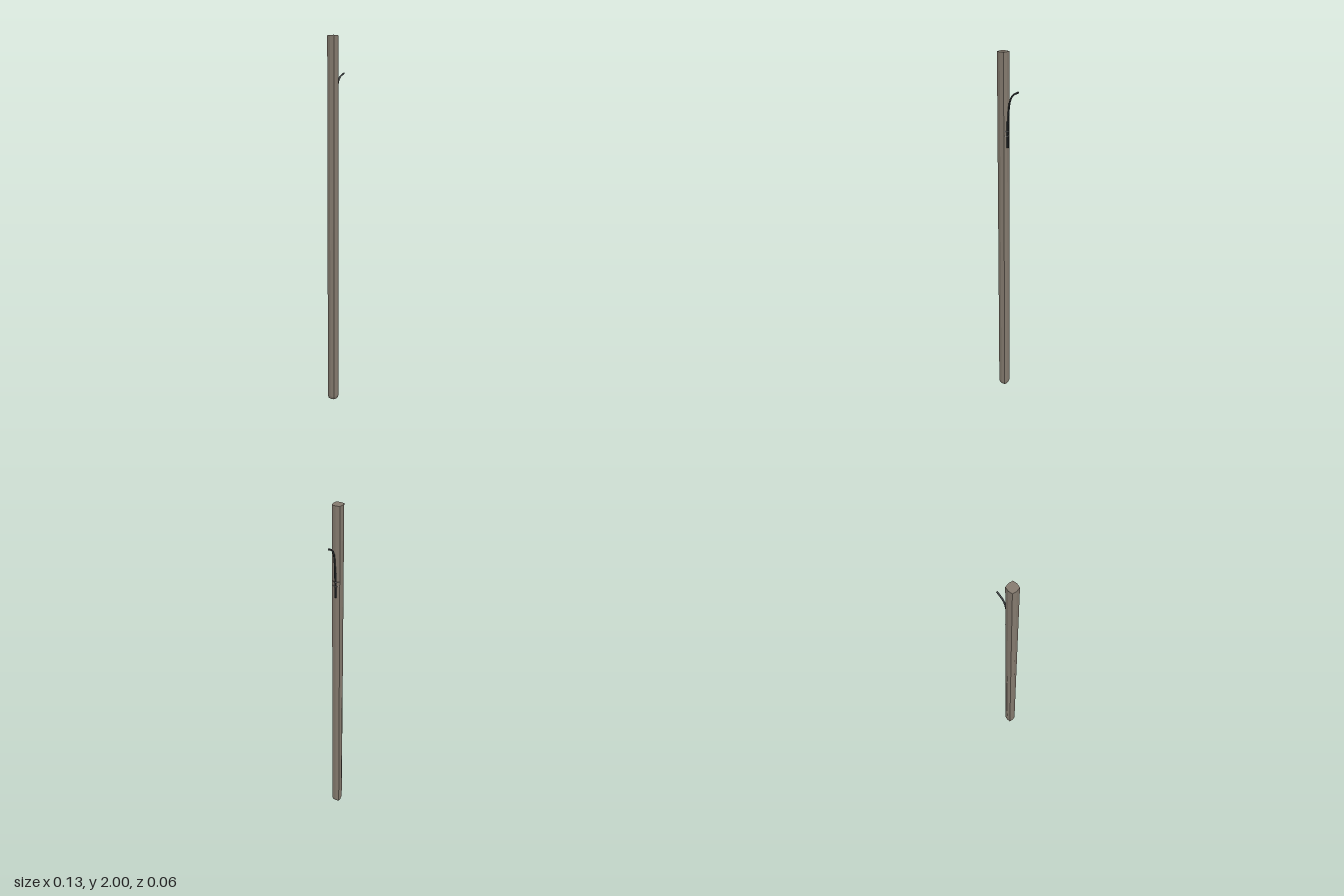
import * as THREE from 'three';

const PX = -0.038; // pole axis

// Give a geometry hard facets
function faceted(geometry) {
  const g = geometry.toNonIndexed();
  g.computeVertexNormals();
  return g;
}

// Smooth swelling between two heights
function swell(y, low, high) {
  if (y <= low || y >= high) return 0;
  return Math.sin(Math.PI * (y - low) / (high - low));
}

// Rough-hewn pole: four corners with a slight ridge along each face
function poleGeometry() {
  const heights = [0, 0.015, 0.1, 0.25, 0.4, 0.6, 0.8, 1.03, 1.09, 1.15, 1.4, 1.7, 2];
  const rows = heights.length - 1;
  const g = new THREE.CylinderGeometry(1, 1, 1, 8, rows);
  const p = g.attributes.position;
  for (let i = 0; i < p.count; i++) {
    const y = heights[Math.round((p.getY(i) + 0.5) * rows)];
    const x = p.getX(i), z = p.getZ(i);
    const corner = Math.abs(x * z) > 0.1;
    const r = (corner ? 0.0305 : 0.0258) * (y === 0 ? 0.84 : 1);
    let px = PX + x * r, pz = 0.0015 + z * r;
    if (z < -0.9) pz -= 0.005 * swell(y, 0.05, 1.1); // swelling at the back
    if (x < -0.9) px -= 0.002 * swell(y, 0.9, 1.25); // knot at the side
    p.setXYZ(i, px, y, pz);
  }
  return faceted(g);
}

export function createModel() {
  const wood = new THREE.MeshStandardMaterial({ color: 0x857b6f });
  const iron = new THREE.MeshStandardMaterial({ color: 0x34383b });
  const wire = new THREE.MeshStandardMaterial({ color: 0x8c8c8a });

  const model = new THREE.Group();
  model.name = 'poleWithHook';
  const add = (name, geometry, material, x = 0, y = 0, z = 0) => {
    const mesh = new THREE.Mesh(geometry, material);
    mesh.name = name;
    mesh.position.set(x, y, z);
    model.add(mesh);
    return mesh;
  };

  add('pole', poleGeometry(), wood);

  // Curved hook rod with closed ends
  const path = new THREE.CatmullRomCurve3([
    [-0.008, 1.51], [-0.0075, 1.6], [-0.003, 1.7], [0.008, 1.762], [0.025, 1.79], [0.061, 1.811],
  ].map(([x, y]) => new THREE.Vector3(x, y, 0.001)));
  add('hookRod', new THREE.TubeGeometry(path, 28, 0.0046, 8), iron);
  for (const t of [0, 1]) {
    const cap = add('hookEnd', new THREE.CircleGeometry(0.0046, 8), iron);
    cap.position.copy(path.getPoint(t));
    const out = path.getTangent(t).multiplyScalar(t ? 1 : -1);
    cap.quaternion.setFromUnitVectors(new THREE.Vector3(0, 0, 1), out);
  }

  // Mounting strip against the pole
  add('hookStrip', new THREE.BoxGeometry(0.006, 0.14, 0.011), iron, -0.0115, 1.58, 0.001);

  // Staples holding the rod
  for (const y of [1.575, 1.6]) {
    const staple = new THREE.CatmullRomCurve3([
      [-0.016, -0.019], [-0.01, -0.009], [-0.003, 0], [-0.01, 0.011], [-0.016, 0.021],
    ].map(([x, z]) => new THREE.Vector3(x, y, z)));
    add('staple', new THREE.TubeGeometry(staple, 12, 0.0016, 5), wire);
  }

  return model;
}
